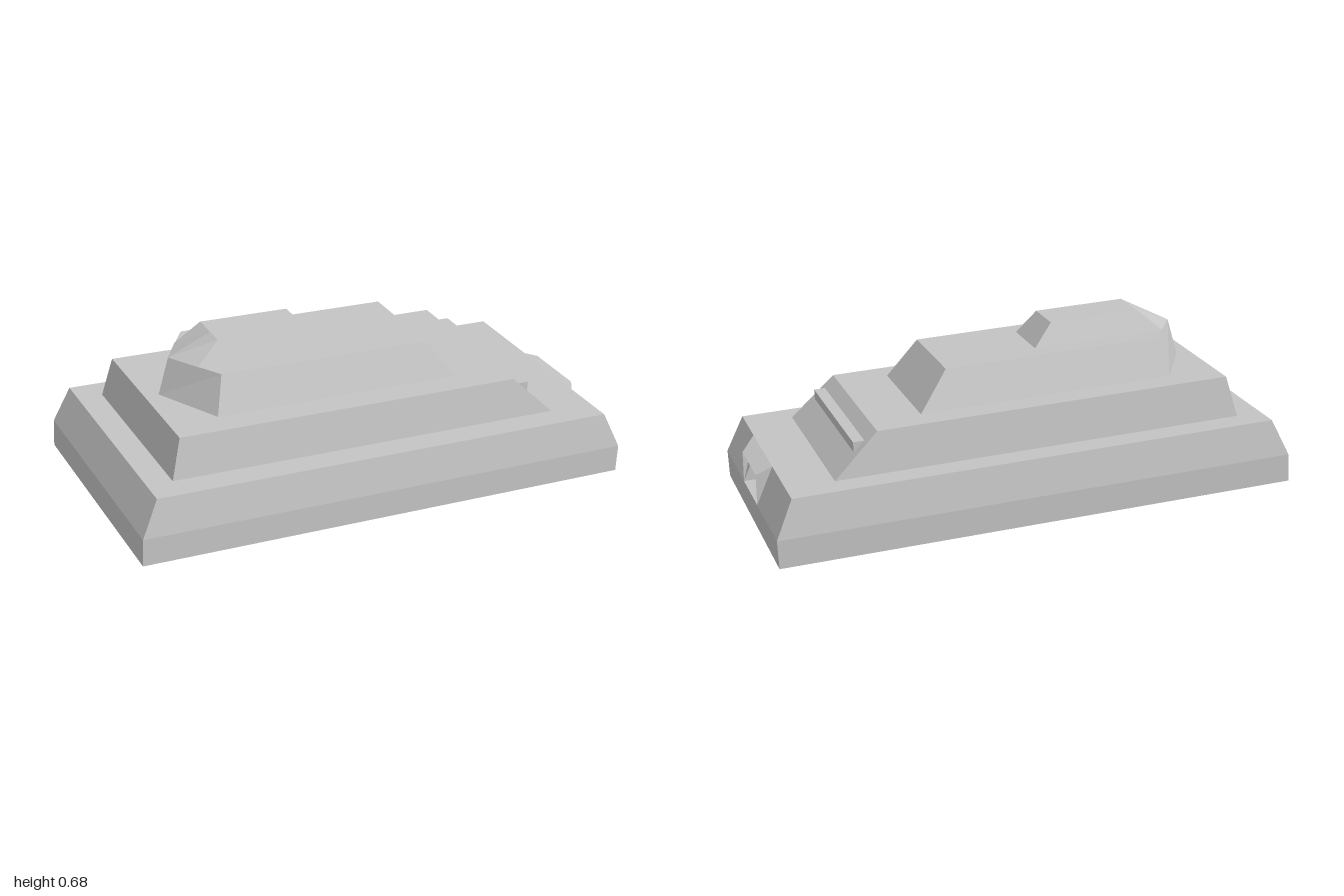
import * as THREE from 'three';

const concrete = new THREE.MeshStandardMaterial({ color: 0xc4c4c4, flatShading: true, side: THREE.DoubleSide });
concrete.name = 'concrete grey';

// Mesh from flat polygons, each a list of [x, y, z] corners, counter-clockwise from outside
function facetMesh(name, polygons) {
  const pos = [];
  for (const p of polygons)
    for (let i = 1; i < p.length - 1; i++) pos.push(...p[0], ...p[i], ...p[i + 1]);
  const g = new THREE.BufferGeometry();
  g.setAttribute('position', new THREE.Float32BufferAttribute(pos, 3));
  g.computeVertexNormals();
  const m = new THREE.Mesh(g, concrete);
  m.name = name;
  return m;
}

// Ring at height y: rectangle from back to front, with an optional pointed back
function ring(y, back, front, half, tip) {
  const pts = [[back, y, half], [front, y, half], [front, y, -half], [back, y, -half]];
  if (tip !== undefined) pts.push([tip, y, 0]);
  return pts;
}

// Polygons joining a stack of rings, closed at top and bottom
function loft(rings, skip = () => false) {
  const polys = [[...rings[0]].reverse(), rings[rings.length - 1]];
  for (let r = 0; r < rings.length - 1; r++) {
    const a = rings[r], b = rings[r + 1];
    a.forEach((p, i) => {
      const j = (i + 1) % a.length;
      if (!skip(r, i)) polys.push([p, a[j], b[j], b[i]]);
    });
  }
  return polys;
}

export function createModel() {
  const bunker = new THREE.Group();
  bunker.name = 'bunker';

  // Base with the sloped front left open around the entrance
  const L = 0.125, R = -0.12, F = 0.925, T = 0.86, H0 = 0.1, H1 = 0.232;
  const base = loft([ring(0, -0.925, F, 0.46), ring(H0, -0.925, F, 0.46), ring(H1, -0.87, T, 0.44)],
    (r, i) => r === 1 && i === 1);
  base.push(
    [[F, H0, 0.46], [F, H0, L], [T, H1, L], [T, H1, 0.44]],
    [[F, H0, R], [F, H0, -0.46], [T, H1, -0.44], [T, H1, R]]);
  bunker.add(facetMesh('base', base));

  // Stepped tiers
  bunker.add(facetMesh('middleTier', loft([ring(H1, -0.778, 0.692, 0.347), ring(0.378, -0.747, 0.53, 0.326)])));
  bunker.add(facetMesh('upperTier', loft([
    ring(0.378, -0.57, 0.35, 0.23, -0.695), ring(0.513, -0.542, 0.24, 0.186, -0.662)])));
  bunker.add(facetMesh('topTier', loft([
    ring(0.513, -0.595, -0.112, 0.108, -0.662), ring(0.591, -0.512, -0.184, 0.08, -0.497)])));

  // Ledge across the sloped front of the middle tier
  const ledge = new THREE.Mesh(new THREE.BoxGeometry(0.05, 0.037, 0.6), concrete);
  ledge.name = 'frontLedge';
  ledge.position.set(0.585, 0.3235, 0);
  bunker.add(ledge);

  // Hood over the entrance, flared on one side
  const e = 0.92, hy = 0.21;
  bunker.add(facetMesh('entranceHood', [
    [[T, H1, 0.22], [e, hy, L], [e, hy, R], [T, H1, R]],
    [[T, H1, 0.22], [F, H0, L], [e, hy, L]],
    [[T, H1, R], [e, hy, R], [F, H0, R]]]));

  // Recess behind the entrance
  const B = 0.78;
  bunker.add(facetMesh('entranceRecess', [
    [[B, H0, L], [F, H0, L], [F, H0, R], [B, H0, R]],
    [[B, H0, L], [B, H0, R], [B, hy, R], [B, hy, L]],
    [[B, H0, R], [F, H0, R], [e, hy, R], [B, hy, R]],
    [[F, H0, L], [B, H0, L], [B, hy, L], [T, H1, L]],
    [[B, hy, L], [B, hy, R], [T, hy, R], [T, hy, L]]]));
  for (const z of [0.06, 0.095]) {
    const post = new THREE.Mesh(new THREE.BoxGeometry(0.02, hy - H0, 0.02), concrete);
    post.name = 'entrancePost';
    post.position.set(0.84, (hy + H0) / 2, z);
    bunker.add(post);
  }

  // Turn and tilt the whole building
  const u = new THREE.Vector3(0.977, -0.056, 0.205).normalize();
  const n = new THREE.Vector3(-0.205, 0.011, 0.978).cross(u).normalize();
  const v = new THREE.Vector3().crossVectors(u, n);
  bunker.quaternion.setFromRotationMatrix(new THREE.Matrix4().makeBasis(u, n, v));
  bunker.position.y = 0.057;

  const model = new THREE.Group();
  model.add(bunker);
  return model;
}
